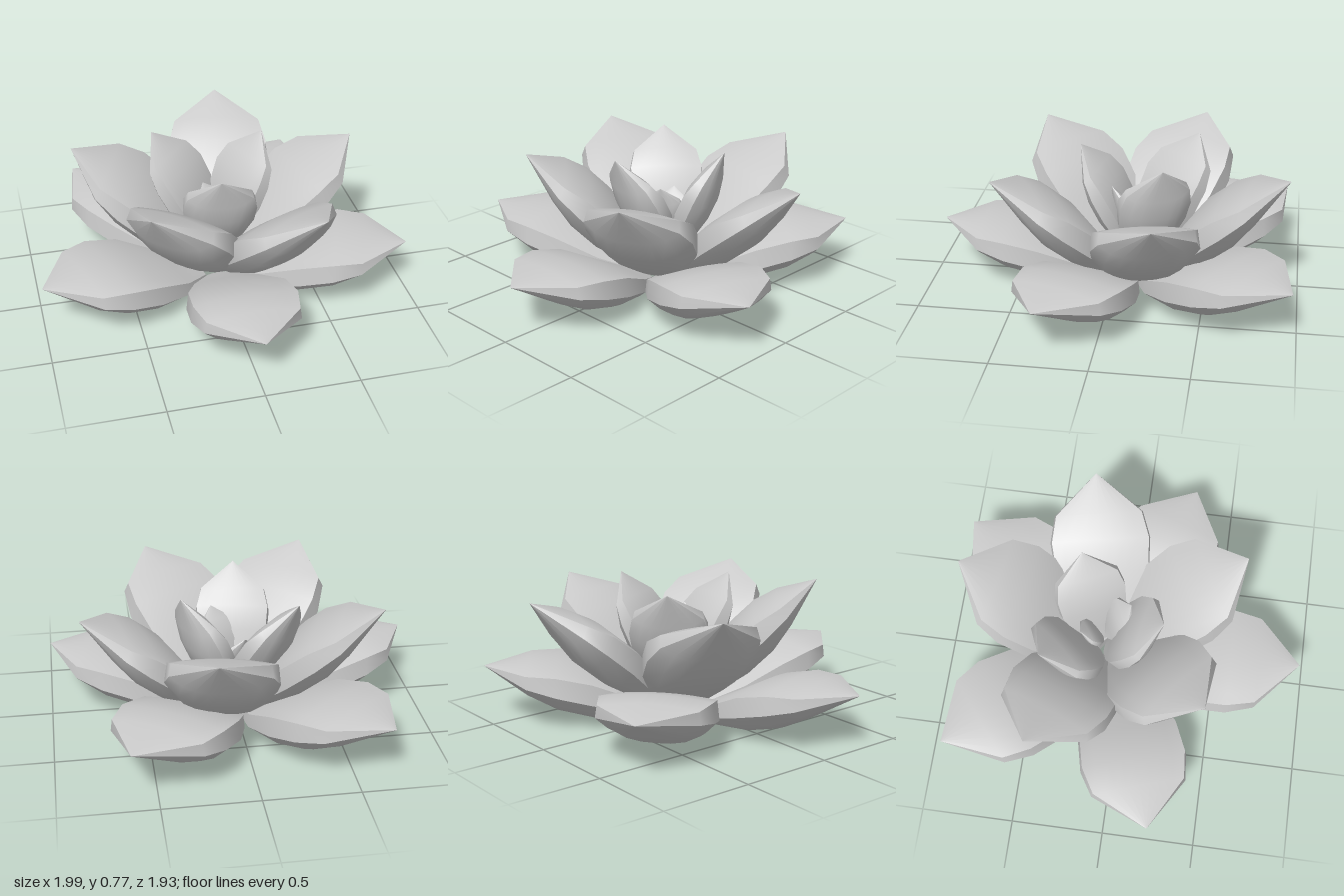
import * as THREE from 'three';
import { mergeGeometries } from 'three/addons/utils/BufferGeometryUtils.js';

// Petal stations: z, half width, top edge y, lower edge y, top middle y, underside middle y
const STATIONS = [
  [0.00, 0.07, 0.04, 0.01, 0.05, -0.02],
  [0.17, 0.19, 0.12, 0.05, 0.13, -0.02],
  [0.38, 0.275, 0.225, 0.12, 0.245, 0.00],
  [0.56, 0.29, 0.27, 0.17, 0.295, 0.05],
  [0.71, 0.255, 0.275, 0.21, 0.30, 0.13],
  [0.94, 0.00, 0.27, 0.27, 0.27, 0.27],
];
const TIP_ANGLE = Math.atan2(0.27, 0.94);
const TIP_LENGTH = Math.hypot(0.27, 0.94);
const COLUMNS = 8;

// Smooth surface through rows of points
function surface(rows) {
  const n = rows[0].length;
  const index = [];
  for (let i = 0; i < rows.length - 1; i++) {
    for (let j = 0; j < n - 1; j++) {
      const a = i * n + j, b = a + 1, c = a + n, d = c + 1;
      index.push(a, c, b, b, c, d);
    }
  }
  const g = new THREE.BufferGeometry();
  g.setAttribute('position', new THREE.Float32BufferAttribute(rows.flat(2), 3));
  g.setIndex(index);
  g.computeVertexNormals();
  return g;
}

// Curved cross-section from the left edge to the right edge
function section(z, halfWidth, edgeY, middleY, power) {
  const points = [];
  for (let j = 0; j <= COLUMNS; j++) {
    const t = (2 * j) / COLUMNS - 1;
    points.push([t * halfWidth, middleY + (edgeY - middleY) * Math.abs(t) ** power, z]);
  }
  return points;
}

// Plump petal with its base at the origin, pointing along +z
function petalGeometry() {
  const top = STATIONS.map(([z, w, et, , mt]) => section(z, w * 0.96, et, mt, 2));
  const under = STATIONS.map(([z, w, , eu, , mu]) => section(z, w, eu, mu, 3));
  return mergeGeometries([
    surface(top),
    surface(under.map((row) => [...row].reverse())),
    surface(top.map((row, i) => [row[COLUMNS], under[i][COLUMNS]])), // rims
    surface(top.map((row, i) => [under[i][0], row[0]])),
    surface([under[0], top[0]]), // base cap
  ]);
}

export function createModel() {
  const flower = new THREE.Group();
  flower.name = 'lotusFlower';
  const geometry = petalGeometry();
  const material = new THREE.MeshStandardMaterial({ color: 0xcccccc });

  // Ring of petals around a centre, each turned, lifted and scaled to reach its tip
  function addRing(name, [cx, cy, cz], baseRadius, tips) {
    const ring = new THREE.Group();
    ring.name = name + 's';
    for (const [x, y, z] of tips) {
      const yaw = Math.atan2(x - cx, z - cz);
      const reach = Math.hypot(x - cx, z - cz) - baseRadius;
      const rise = y - cy;
      const petal = new THREE.Mesh(geometry, material);
      petal.name = name;
      petal.position.set(cx + Math.sin(yaw) * baseRadius, cy, cz + Math.cos(yaw) * baseRadius);
      petal.rotation.set(TIP_ANGLE - Math.atan2(rise, reach), yaw, 0, 'YXZ');
      petal.scale.setScalar(Math.hypot(rise, reach) / TIP_LENGTH);
      ring.add(petal);
    }
    flower.add(ring);
  }

  addRing('outerPetal', [0, 0.02, -0.08], 0.1, [
    [0.01, 0.29, 0.96], [0.99, 0.29, 0.28], [0.63, 0.29, -0.97],
    [-0.68, 0.29, -0.92], [-1.0, 0.28, 0.24],
  ]);
  addRing('middlePetal', [0.05, 0.07, -0.12], 0.08, [
    [0.42, 0.71, 0.6], [0.83, 0.68, -0.28], [0.2, 0.71, -0.93],
    [-0.73, 0.71, -0.43], [-0.45, 0.755, 0.46],
  ]);
  addRing('innerPetal', [0.03, 0.16, -0.15], 0.05, [
    [-0.03, 0.76, 0.2], [0.31, 0.77, -0.28], [-0.28, 0.76, -0.42],
  ]);
  addRing('heartPetal', [0.05, 0.26, -0.13], 0.02, [
    [0.12, 0.59, 0.01], [-0.03, 0.5, -0.25],
  ]);
  return flower;
}
